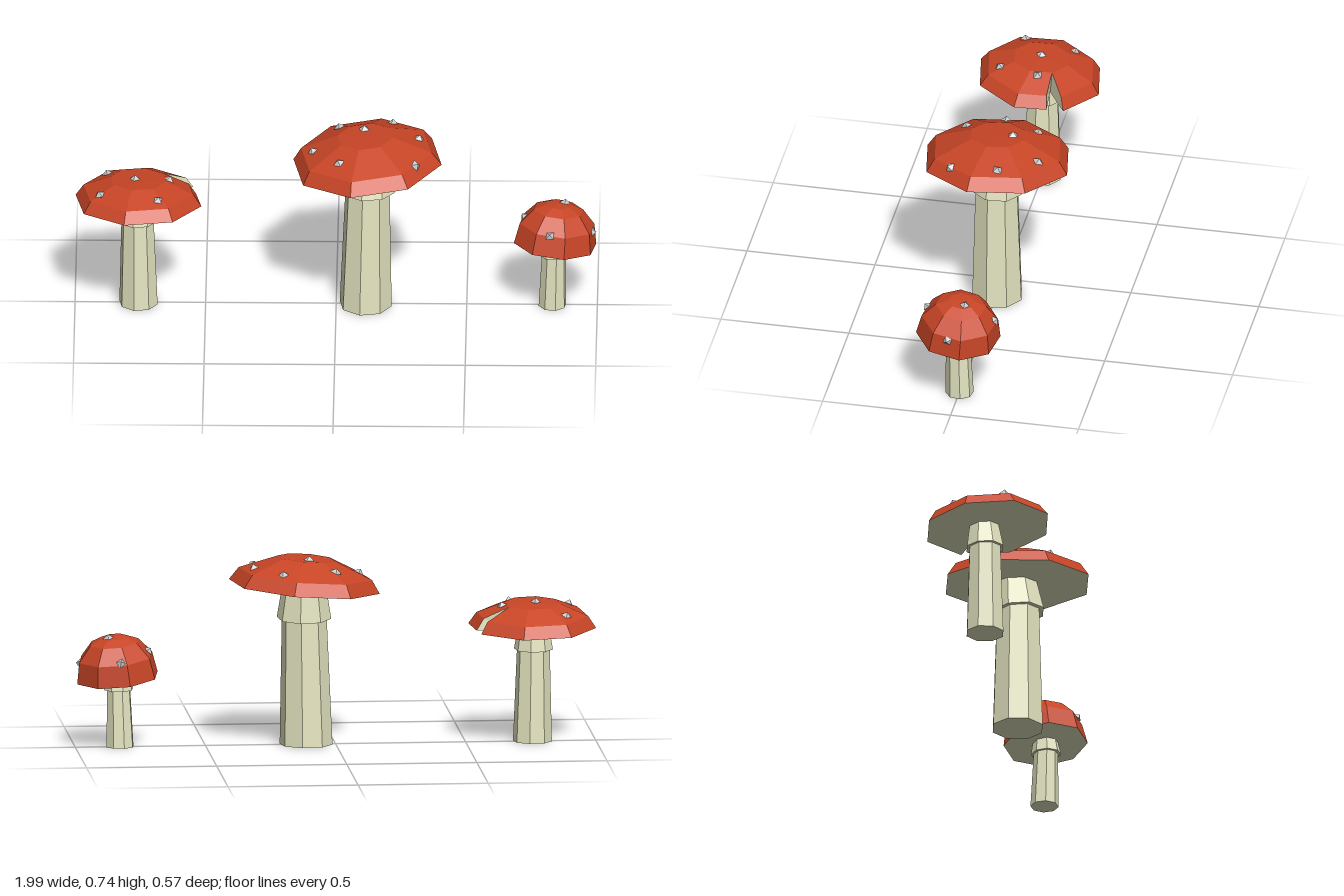
import * as THREE from 'three';

const SIDES = 8;
const STEP = (Math.PI * 2) / SIDES;
const paint = (color) => new THREE.MeshStandardMaterial({ color, flatShading: true });
const red = paint(0xc84526);
const cream = paint(0xe6e6c2);
const white = paint(0xdddddd);

function makeMesh(name, geometry, material) {
  const mesh = new THREE.Mesh(geometry, material);
  mesh.name = name;
  return mesh;
}

function fromTriangles(points) {
  const geometry = new THREE.BufferGeometry().setFromPoints(points);
  geometry.computeVertexNormals();
  return geometry;
}

// Eight-sided cap: profile runs [radius, height] from the rim to the apex.
// A notch removes part of the last side between the rim and ring notchRing.
function makeCap({ profile, turn, notch, notchRing = 2 }) {
  const group = new THREE.Group();
  group.name = 'cap';
  const dirs = [];
  for (let i = 0; i < SIDES; i++) {
    const a = turn + i * STEP;
    dirs.push(new THREE.Vector3(Math.cos(a), 0, Math.sin(a)));
  }
  if (notch) dirs.push(dirs[SIDES - 1].clone().lerp(dirs[0], notch));

  const point = (i, ring, y = profile[ring][1]) => {
    const column = i % dirs.length;
    const dir = dirs[column === SIDES && ring >= notchRing ? SIDES - 1 : column];
    return dir.clone().multiplyScalar(profile[ring][0]).setY(y);
  };
  const centre = new THREE.Vector3();
  const top = [];
  const under = [];
  for (let i = 0; i < dirs.length; i++) {
    if (notch && i === SIDES - 1) continue;
    for (let r = 0; r < profile.length - 1; r++) {
      const a = point(i, r), b = point(i + 1, r);
      const c = point(i + 1, r + 1), d = point(i, r + 1);
      top.push(a, d, b);
      if (r < profile.length - 2) top.push(b, d, c);
    }
    under.push(centre, point(i, 0), point(i + 1, 0));
  }
  group.add(makeMesh('capTop', fromTriangles(top), red));

  if (notch) {
    // pale cut faces and the strip of underside beside the notch
    const tip = point(SIDES - 1, notchRing);
    const tipLow = point(SIDES - 1, notchRing, 0);
    under.push(centre, tipLow, point(SIDES, 0));
    const walls = [];
    for (const i of [SIDES - 1, SIDES]) {
      const rim = point(i, 0), shoulder = point(i, 1);
      walls.push(tipLow, tip, shoulder, tipLow, shoulder, rim);
    }
    const flesh = cream.clone();
    flesh.side = THREE.DoubleSide;
    group.add(makeMesh('notchWalls', fromTriangles(walls), flesh));
  }
  group.add(makeMesh('capUnderside', fromTriangles(under), cream));
  return group;
}

// Small faceted wart sitting on the cap at local x, z
function makeSpot(x, z, { profile, turn }, size, index) {
  const angle = Math.atan2(z, x);
  const within = (((angle - turn) % STEP) + STEP) % STEP - STEP / 2;
  const rho = Math.hypot(x, z) * Math.cos(within) / Math.cos(STEP / 2);
  let k = 0;
  while (k < profile.length - 2 && rho < profile[k + 1][0]) k++;
  const [r0, y0] = profile[k], [r1, y1] = profile[k + 1];
  const y = y0 + (y1 - y0) * (r0 - rho) / (r0 - r1);
  const normal = new THREE.Vector3(
    Math.cos(angle) * (y1 - y0), r0 - r1, Math.sin(angle) * (y1 - y0)).normalize();
  const spot = makeMesh('spot', new THREE.OctahedronGeometry(size), white);
  spot.scale.set(1, 0.75, 0.9);
  spot.quaternion.setFromUnitVectors(new THREE.Vector3(0, 1, 0), normal);
  spot.rotateY(index * 1.3);
  spot.position.set(x, y, z);
  return spot;
}

// Tapered prism from y0 to y1 whose top is shifted by the lean
function makePrism(name, bottom, top, y0, y1, turn, lean = [0, 0]) {
  const h = y1 - y0;
  const geometry = new THREE.CylinderGeometry(top, bottom, h, SIDES, 1, false, -turn);
  geometry.translate(0, h / 2, 0);
  geometry.applyMatrix4(new THREE.Matrix4().makeShear(0, 0, lean[0] / h, lean[1] / h, 0, 0));
  geometry.computeVertexNormals();
  const mesh = makeMesh(name, geometry, cream);
  mesh.position.y = y0;
  return mesh;
}

function makeMushroom(spec) {
  const { name, x, stem, skirt, cap, spots, spotSize } = spec;
  const group = new THREE.Group();
  group.name = name;
  group.position.x = x;
  group.add(makePrism('stem', stem.bottom, stem.top, 0, stem.height, cap.turn, stem.lean));

  const collar = makePrism('skirt', skirt.bottom, skirt.top, skirt.y0, skirt.y1, cap.turn);
  collar.position.x = stem.lean[0];
  collar.position.z = stem.lean[1];
  collar.rotation.set(skirt.tilt, 0, 0);
  group.add(collar);

  const head = makeCap(cap);
  head.position.set(...cap.at);
  head.rotation.set(cap.tilt[0], 0, cap.tilt[1]);
  spots.forEach(([sx, sz], i) => head.add(makeSpot(sx, sz, cap, spotSize, i)));
  group.add(head);
  return group;
}

const mushrooms = [
  {
    name: 'notchedMushroom', x: -0.757,
    stem: { bottom: 0.075, top: 0.062, height: 0.4, lean: [-0.004, 0] },
    skirt: { bottom: 0.075, top: 0.056, y0: 0.357, y1: 0.47, tilt: -0.04 },
    cap: {
      at: [0, 0.446, 0.01], tilt: [-0.08, 0], turn: 0.215, notch: 0.34,
      profile: [[0.247, 0], [0.216, 0.045], [0.11, 0.089], [0, 0.092]],
    },
    spots: [[-0.12, -0.108], [-0.013, 0.004], [0.117, -0.008], [0.077, 0.146], [-0.147, 0.092]],
    spotSize: 0.022,
  },
  {
    name: 'tallMushroom', x: 0.113,
    stem: { bottom: 0.102, top: 0.085, height: 0.55, lean: [0.008, 0] },
    skirt: { bottom: 0.105, top: 0.081, y0: 0.49, y1: 0.64, tilt: -0.08 },
    cap: {
      at: [0.007, 0.612, -0.003], tilt: [0, 0.08], turn: 0.215,
      profile: [[0.292, 0], [0.258, 0.05], [0.11, 0.11], [0, 0.112]],
    },
    spots: [[-0.102, -0.138], [0.1, -0.178], [-0.004, -0.058], [0.202, -0.04],
      [0.19, 0.146], [-0.102, 0.142], [-0.205, 0.008]],
    spotSize: 0.023,
  },
  {
    name: 'smallMushroom', x: 0.828,
    stem: { bottom: 0.054, top: 0.046, height: 0.25, lean: [0.006, 0.005] },
    skirt: { bottom: 0.058, top: 0.044, y0: 0.222, y1: 0.3, tilt: -0.04 },
    cap: {
      at: [0.01, 0.267, 0.003], tilt: [-0.095, -0.095], turn: 0.56,
      profile: [[0.162, 0], [0.147, 0.082], [0.097, 0.141], [0.05, 0.162], [0, 0.166]],
    },
    spots: [[0.022, -0.017], [-0.011, -0.133], [-0.126, -0.008], [-0.026, 0.133], [0.137, 0.018]],
    spotSize: 0.021,
  },
];

export function createModel() {
  const model = new THREE.Group();
  model.name = 'mushrooms';
  for (const spec of mushrooms) model.add(makeMushroom(spec));
  return model;
}
